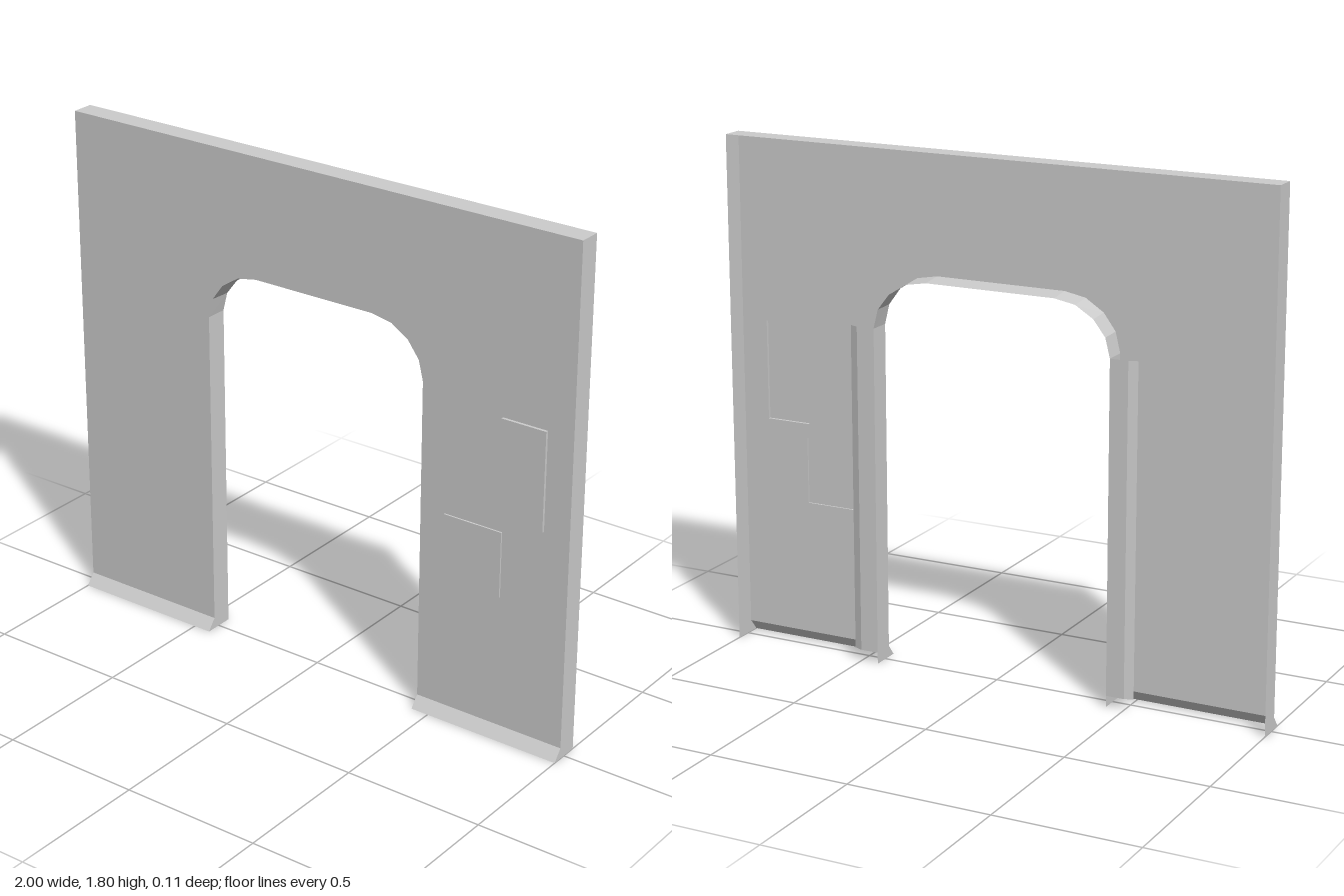
import * as THREE from 'three';

const FRONT = 0.023, BACK = -0.055, TOE = 0.055;
const W = 1, H = 1.8, DOOR = 0.435, SPRING = 1.19, SKIRT = 0.04;

const material = new THREE.MeshStandardMaterial({
  color: 0xcccccc, flatShading: true, side: THREE.DoubleSide,
});

function add(group, name, geometry) {
  const mesh = new THREE.Mesh(geometry, material);
  mesh.name = name;
  group.add(mesh);
}

// Sheet spanning two matching polylines of [x, y, z] points
function ribbon(a, b) {
  const pos = [];
  for (let i = 0; i < a.length - 1; i++) {
    pos.push(...a[i], ...b[i], ...b[i + 1], ...a[i], ...b[i + 1], ...a[i + 1]);
  }
  const g = new THREE.BufferGeometry();
  g.setAttribute('position', new THREE.Float32BufferAttribute(pos, 3));
  g.computeVertexNormals();
  return g;
}

const rect = (x0, y0, x1, y1) => [[x0, y0], [x1, y0], [x1, y1], [x0, y1]];
const toVectors = (pts) => pts.map(([x, y]) => new THREE.Vector2(x, y));
const atDepth = (pts, z) => pts.map(([x, y]) => [x, y, z]);

export function createModel() {
  const group = new THREE.Group();

  // Doorway outline, from the right spring point over the top to the left one
  const half = [[DOOR, SPRING], [0.418, 1.26], [0.375, 1.318], [0.31, 1.36], [0.235, 1.374]];
  const arch = [...half.map(([x, y]) => [-x, y]), ...half.slice().reverse()];

  // Raised wall panels on the model's left side: corners and front depth
  const raised = [
    { name: 'tallWallPanel', pts: rect(0.74, 0.8, 0.905, 1.15), z: 0.033 },
    { name: 'lowWallPanel', pts: rect(0.53, 0.515, 0.75, 0.75), z: 0.029 },
  ];

  // Front sheet with the doorway cut out
  const sheet = new THREE.Shape(toVectors([
    [-W, SKIRT], [-DOOR, SKIRT], ...arch, [DOOR, SKIRT], [W, SKIRT], [W, H], [-W, H],
  ]));
  sheet.holes = raised.map((p) => new THREE.Path(toVectors(p.pts)));
  add(group, 'wallFront', new THREE.ShapeGeometry(sheet).translate(0, 0, FRONT));

  // Raised panels, hollow behind
  for (const { name, pts, z } of raised) {
    const panel = new THREE.Group();
    panel.name = name;
    const loop = [...pts, pts[0]];
    add(panel, name + 'Face', new THREE.ShapeGeometry(new THREE.Shape(toVectors(pts))).translate(0, 0, z));
    add(panel, name + 'Rim', ribbon(atDepth(loop, FRONT), atDepth(loop, z)));
    group.add(panel);
  }

  // Top return and the arch soffit, which drops a little towards the back
  add(group, 'topReturn', ribbon([[-W, H, FRONT], [W, H, FRONT]], [[-W, H, BACK], [W, H, BACK]]));
  add(group, 'archSoffit', ribbon(
    atDepth(arch, FRONT),
    arch.map(([x, y]) => [x, y - 0.008 * (y - SPRING) / 0.184, BACK]),
  ));

  // Side returns, door jambs, skirts and rear lips, mirrored
  for (const [side, s] of [['right', -1], ['left', 1]]) {
    const upright = (x, top) => ribbon(
      [[x, 0, TOE], [x, SKIRT, FRONT], [x, top, FRONT]],
      [[x, 0, BACK], [x, SKIRT, BACK], [x, top, BACK]],
    );
    add(group, side + 'SideReturn', upright(s * W, H));
    add(group, side + 'DoorJamb', upright(s * DOOR, SPRING));
    add(group, side + 'Skirt', ribbon(
      [[s * DOOR, SKIRT, FRONT], [s * W, SKIRT, FRONT]],
      [[s * DOOR, 0, TOE], [s * W, 0, TOE]],
    ));
    const lip = [[DOOR, BACK], [0.5, BACK], [0.53, BACK + 0.012]];
    add(group, side + 'JambLip', ribbon(
      lip.map(([x, z]) => [s * x, SKIRT, z]),
      lip.map(([x, z]) => [s * x, SPRING, z]),
    ));
  }
  return group;
}
